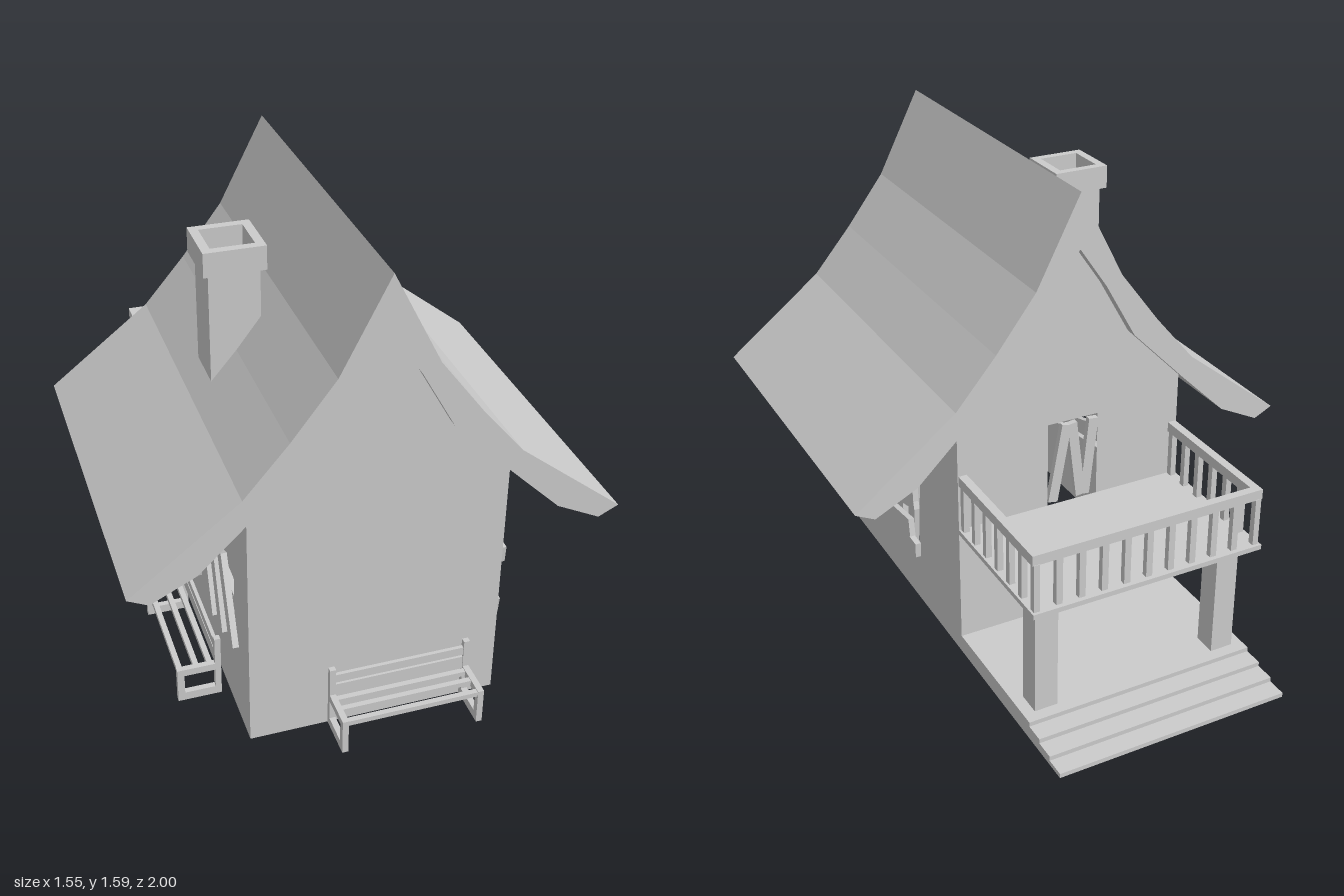
import * as THREE from 'three';

const grey = new THREE.MeshStandardMaterial({ color: 0xcccccc, flatShading: true });
const thin = new THREE.MeshStandardMaterial({ color: 0xcccccc, flatShading: true, side: THREE.DoubleSide });

function add(parent, name, geometry, material = grey) {
  const mesh = new THREE.Mesh(geometry, material);
  mesh.name = name;
  parent.add(mesh);
  return mesh;
}

// Box given by its min and max on each axis
function box(parent, name, x0, x1, y0, y1, z0, z1) {
  const mesh = add(parent, name, new THREE.BoxGeometry(x1 - x0, y1 - y0, z1 - z0));
  mesh.position.set((x0 + x1) / 2, (y0 + y1) / 2, (z0 + z1) / 2);
  return mesh;
}

// Flat board from a to b in the xy plane
function plank(parent, name, [ax, ay], [bx, by], width, z, depth = 0.02) {
  const mesh = add(parent, name, new THREE.BoxGeometry(Math.hypot(bx - ax, by - ay), width, depth));
  mesh.position.set((ax + bx) / 2, (ay + by) / 2, z);
  mesh.rotation.z = Math.atan2(by - ay, bx - ax);
}

const polygon = (pts) => new THREE.Shape(pts.map(([x, y]) => new THREE.Vector2(x, y)));
const rect = (x0, x1, y0, y1) => polygon([[x0, y0], [x1, y0], [x1, y1], [x0, y1]]);
const mirrored = (half) => [...half, ...half.slice(1).reverse().map(([x, y]) => [-x, y])];

const W = 0.41, FRONT = 0.857, BACK = -0.305;

// Boarded window: upright boards with crossing planks; local x runs along the wall
function windowBoards(name) {
  const g = new THREE.Group();
  g.name = name;
  const uprights = [
    [[0.6, 0.55], [0.72, 0.27]], [[0.48, 0.55], [0.59, 0.23]], [[0.34, 0.56], [0.465, 0.2]],
    [[0.31, 0.54], [0.25, 0.215]], [[0.165, 0.565], [0.14, 0.23]], [[0.03, 0.56], [0.06, 0.22]],
  ];
  for (const [a, b] of uprights) plank(g, 'uprightBoard', a, b, 0.05, -0.01);
  const crossing = [
    [[0.765, 0.415], [-0.02, 0.475], 0.055, 0], [[0.76, 0.24], [-0.02, 0.45], 0.065, 0],
    [[0.5, 0.275], [-0.025, 0.25], 0.055, 0],
    [[0.765, 0.455], [-0.025, 0.52], 0.06, 1], [[0.75, 0.235], [-0.025, 0.35], 0.065, 1],
  ];
  for (const [a, b, h, layer] of crossing) plank(g, 'crossPlank', a, b, h, -0.03 - layer * 0.02);
  g.rotation.y = -Math.PI / 2;
  return g;
}

// Bench with its back at z = 0, facing +z
function bench(name) {
  const g = new THREE.Group();
  g.name = name;
  const side = polygon([[0, 0], [0.145, 0], [0.145, 0.125], [0.02, 0.125], [0.02, 0.225], [0, 0.225]]);
  side.holes.push(rect(0.02, 0.122, 0.03, 0.1));
  for (const x of [-0.235, 0.215]) {
    const geo = new THREE.ExtrudeGeometry(side, { depth: 0.02, bevelEnabled: false });
    geo.rotateY(-Math.PI / 2);
    add(g, 'benchSide', geo).position.x = x + 0.02;
  }
  for (const z of [0.025, 0.07, 0.125]) box(g, 'seatSlat', -0.22, 0.22, 0.105, 0.122, z, z + 0.018);
  box(g, 'lowerBackSlat', -0.22, 0.22, 0.115, 0.162, 0.004, 0.016);
  box(g, 'upperBackSlat', -0.22, 0.22, 0.17, 0.2, 0.004, 0.016);
  return g;
}

export function createModel() {
  const house = new THREE.Group();
  house.name = 'cottage';

  // Walls, open below
  const eaves = [[0.205, 1.067], [0.096, 1.26], [0, 1.4]];
  const outline = [[W, 0], [W, 0.86], ...eaves];
  const gable = [...outline, ...outline.slice(0, -1).reverse().map(([x, y]) => [-x, y])];
  add(house, 'frontWall', new THREE.ShapeGeometry(polygon(gable)), thin).position.z = FRONT;
  const backShape = polygon(gable);
  backShape.holes.push(rect(-0.1, 0.085, 0.06, 0.42), rect(-0.1, 0.085, 0.485, 0.79));
  add(house, 'backWall', new THREE.ShapeGeometry(backShape), thin).position.z = BACK;
  for (const s of [-1, 1]) {
    const shape = rect(BACK, FRONT, 0, 0.86);
    shape.holes.push(rect(0.03, 0.7, 0.25, 0.52));
    const geo = new THREE.ShapeGeometry(shape);
    geo.rotateY(-Math.PI / 2);
    add(house, s > 0 ? 'leftWall' : 'rightWall', geo, thin).position.x = s * W;
  }

  // Curved roof
  const top = [[0, 1.585], [0.152, 1.287], [0.29, 1.105], [0.43, 0.94], [0.775, 0.67]];
  const under = [[0.71, 0.638], [0.565, 0.71], [0.4, 0.87], ...eaves];
  const right = [...top, ...under];
  const left = right.slice(1, -1).reverse().map(([x, y]) => [-x, y]);
  // Halves joined along the ridge
  const roofShape = polygon([...top, ...under, ...left.slice(0, under.length - 1), ...left.slice(under.length - 1)]);
  roofShape.curves.length = 0;
  roofShape.setFromPoints([
    ...top, ...under,
    ...under.slice(0, -1).reverse().map(([x, y]) => [-x, y]),
    ...top.slice(1).reverse().map(([x, y]) => [-x, y]),
  ].map(([x, y]) => new THREE.Vector2(x, y)));
  const roof = new THREE.ExtrudeGeometry(roofShape, { depth: 1.24, bevelEnabled: false });
  add(house, 'roof', roof).position.z = -0.347;

  // Chimney with hollow cap
  box(house, 'chimneyShaft', -0.373, -0.21, 0.97, 1.385, 0.183, 0.343);
  const cap = rect(-0.391, -0.194, -0.361, -0.166);
  cap.holes.push(rect(-0.362, -0.223, -0.333, -0.194));
  const capGeo = new THREE.ExtrudeGeometry(cap, { depth: 0.08, bevelEnabled: false });
  capGeo.rotateX(-Math.PI / 2);
  add(house, 'chimneyCap', capGeo).position.y = 1.373;

  // Porch floor with steps
  const ends = [-0.8, -0.866, -0.934, -1];
  ends.forEach((z, i) => {
    const y = 0.062 - i * 0.0155;
    box(house, i ? 'step' : 'porchFloor', -W, W, 0, y, z, i ? ends[i - 1] : BACK);
  });

  // Balcony on two posts
  box(house, 'balconyDeck', -W, W, 0.468, 0.485, -0.825, BACK);
  for (const s of [-1, 1]) {
    box(house, 'porchPost', s * 0.33 - 0.04, s * 0.33 + 0.04, 0.06, 0.47, -0.76, -0.68);
    box(house, 'sideRail', s * 0.3925 - 0.0145, s * 0.3925 + 0.0145, 0.65, 0.685, -0.813, BACK);
    for (let i = 0; i < 7; i++) {
      const z = -0.318 - i * 0.081;
      box(house, 'sideBaluster', s * 0.3925 - 0.01, s * 0.3925 + 0.01, 0.484, 0.652, z - 0.011, z + 0.011);
    }
  }
  box(house, 'backRail', -0.38, 0.38, 0.65, 0.685, -0.813, -0.785);
  for (let i = 1; i < 10; i++) {
    const x = -0.3925 + i * 0.0785;
    box(house, 'backBaluster', x - 0.011, x + 0.011, 0.484, 0.652, -0.81, -0.79);
  }

  // Boards across the balcony door
  const door = new THREE.Group();
  door.name = 'doorBoards';
  for (const [a, b] of [[[-0.08, 0.78], [-0.05, 0.5]], [[0.0, 0.78], [-0.035, 0.5]], [[0.02, 0.78], [0.07, 0.5]]]) {
    plank(door, 'doorBoard', a, b, 0.035, BACK);
  }
  house.add(door);

  // Boarded side windows
  const leftBoards = windowBoards('leftWindowBoards');
  leftBoards.position.x = W;
  const rightBoards = windowBoards('rightWindowBoards');
  rightBoards.position.x = -0.45 + 0.02;
  house.add(leftBoards, rightBoards);

  // Benches
  const frontBench = bench('frontBench');
  frontBench.position.set(0.08, 0, 0.855);
  const sideBench = bench('sideBench');
  sideBench.position.set(-0.44, 0, 0.39);
  sideBench.rotation.y = -Math.PI / 2;
  house.add(frontBench, sideBench);

  return house;
}
